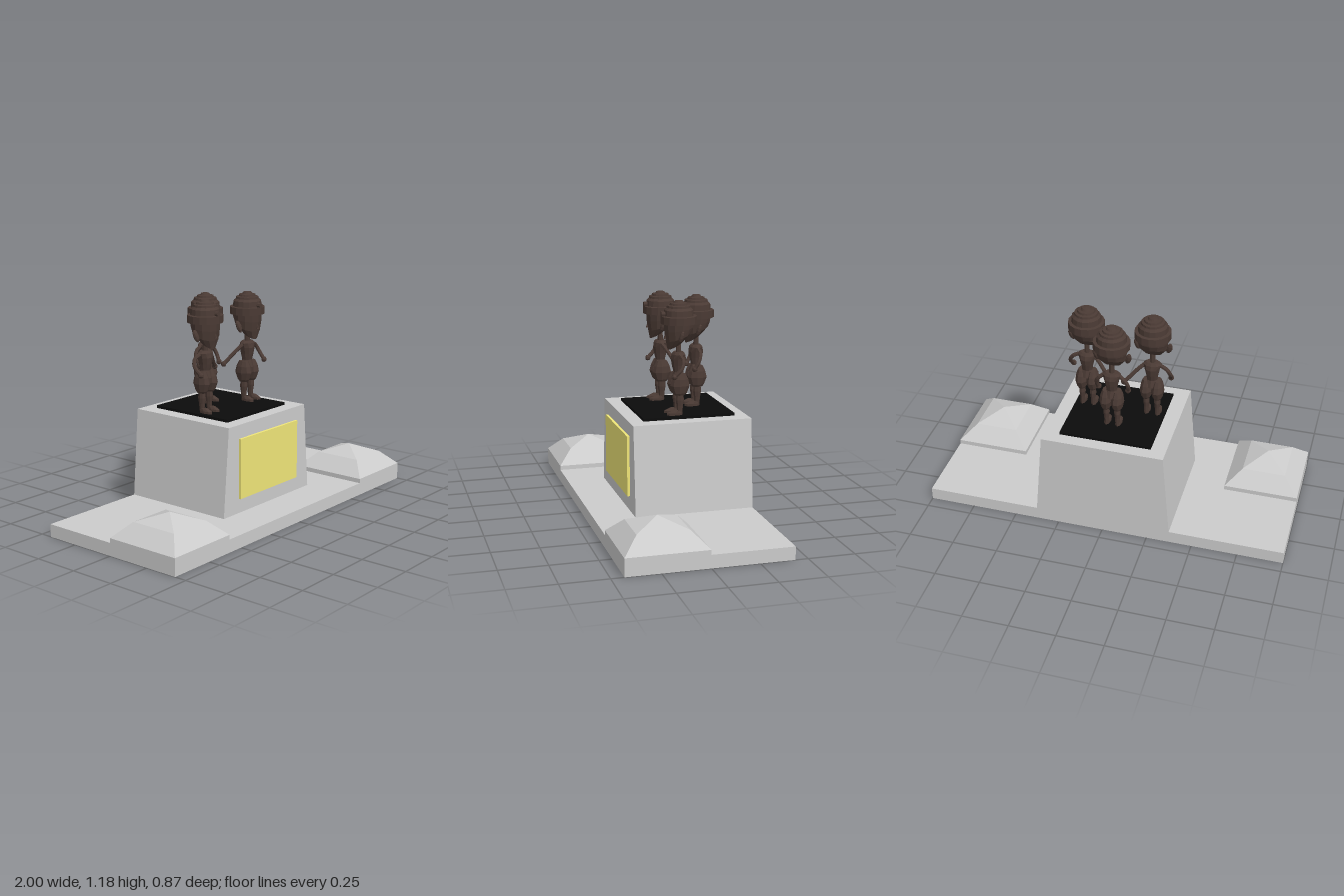
import * as THREE from 'three';

const stone = new THREE.MeshStandardMaterial({ color: 0xcccccc, flatShading: true });
const bronze = new THREE.MeshStandardMaterial({ color: 0x4a3a34, flatShading: true });
const black = new THREE.MeshStandardMaterial({ color: 0x0c0c0c });
const yellow = new THREE.MeshStandardMaterial({ color: 0xf0e678 });

function add(parent, name, geometry, material, x = 0, y = 0, z = 0) {
  const mesh = new THREE.Mesh(geometry, material);
  mesh.name = name;
  mesh.position.set(x, y, z);
  parent.add(mesh);
  return mesh;
}

// Closed skin over rings given bottom to top: [y, rx, rz, centreZ, tilt]
function loft(rings, n = 10, offset = 0) {
  const pos = [], idx = [];
  for (const [y, rx, rz, cz = 0, tilt = 0] of rings) {
    for (let j = 0; j < n; j++) {
      const a = offset + (j / n) * Math.PI * 2;
      const dz = rz * Math.cos(a);
      pos.push(rx * Math.sin(a), y + tilt * dz, cz + dz);
    }
  }
  const last = rings.length - 1;
  for (let i = 0; i < last; i++) {
    for (let j = 0; j < n; j++) {
      const a = i * n + j, b = i * n + (j + 1) % n;
      idx.push(a, b, b + n, a, b + n, a + n);
    }
  }
  const top = pos.length / 3 + 1;
  pos.push(0, rings[0][0], rings[0][3] || 0, 0, rings[last][0], rings[last][3] || 0);
  for (let j = 0; j < n; j++) {
    const k = (j + 1) % n;
    idx.push(top - 1, k, j, top, last * n + j, last * n + k);
  }
  const g = new THREE.BufferGeometry();
  g.setAttribute('position', new THREE.Float32BufferAttribute(pos, 3));
  g.setIndex(idx);
  g.computeVertexNormals();
  return g;
}

// Rectangular loft from rings [y, halfX, halfZ]
const block = (rings) =>
  loft(rings.map(([y, x, z]) => [y, x * Math.SQRT2, z * Math.SQRT2]), 4, Math.PI / 4);

// Arm through a few points, ending in a small hand
function addArm(parent, name, points) {
  const path = new THREE.CatmullRomCurve3(points.map((p) => new THREE.Vector3(...p)));
  add(parent, name, new THREE.TubeGeometry(path, 8, 0.011, 7), bronze);
  add(parent, name + 'Hand', new THREE.SphereGeometry(0.016, 7, 5), bronze, ...points[points.length - 1]);
}

// Child figure standing on local y = 0, facing +z
function createFigure(name) {
  const f = new THREE.Group();
  f.name = name;

  for (const s of [-1, 1]) {
    // Shoe, calf and puffed trouser leg
    add(f, 'shoe', loft([[0, 0.018, 0.043], [0.012, 0.018, 0.043], [0.026, 0.013, 0.025, -0.014]], 8), bronze, s * 0.031, 0, 0.028);
    add(f, 'calf', loft([[0.01, 0.012, 0.014], [0.05, 0.014, 0.018], [0.08, 0.018, 0.023], [0.125, 0.016, 0.019]], 8), bronze, s * 0.03, 0, 0);
    add(f, 'trouserLeg', loft([
      [0.108, 0.02, 0.028], [0.12, 0.027, 0.038], [0.16, 0.035, 0.054], [0.195, 0.031, 0.045], [0.225, 0.018, 0.03],
    ], 9), bronze, s * 0.031, 0, 0);
    // Ear, leaning back
    const ear = add(f, 'ear', new THREE.SphereGeometry(1, 8, 6), bronze, s * 0.086, 0.427, 0.01);
    ear.scale.set(0.017, 0.036, 0.013);
    ear.rotation.set(-0.25, 0, -s * 0.25);
  }

  // Torso
  add(f, 'torso', loft([
    [0.19, 0.045, 0.04], [0.23, 0.028, 0.027], [0.265, 0.034, 0.036], [0.3, 0.043, 0.042],
    [0.325, 0.05, 0.036], [0.337, 0.035, 0.026],
  ]), bronze);
  add(f, 'neck', new THREE.CylinderGeometry(0.014, 0.015, 0.1, 8), bronze, 0, 0.36, 0);

  // Head with a jaw sloping down to the chin
  add(f, 'head', loft([
    [0.375, 0.038, 0.045, 0.015, -0.55], [0.418, 0.073, 0.067, 0.002, -0.35],
    [0.46, 0.081, 0.078, 0, -0.15], [0.505, 0.085, 0.081],
  ], 12), bronze);
  add(f, 'nose', new THREE.ConeGeometry(0.009, 0.03, 5), bronze, 0, 0.425, 0.074);

  // Stepped hat
  const profile = [[0, 0.488], [0.097, 0.49], [0.097, 0.53], [0.08, 0.532], [0.077, 0.562], [0.064, 0.574],
    [0.062, 0.585], [0.048, 0.588], [0.045, 0.598], [0.029, 0.6], [0.022, 0.61], [0, 0.612]];
  add(f, 'hat', new THREE.LatheGeometry(profile.map((p) => new THREE.Vector2(...p)), 16), bronze);
  const badge = add(f, 'hatBadge', new THREE.CylinderGeometry(0.015, 0.015, 0.022, 8), bronze, 0, 0.541, 0.085);
  badge.rotation.x = Math.PI / 2;
  return f;
}

export function createModel() {
  const model = new THREE.Group();
  model.name = 'monument';

  // Base slab with a low corner mound on each side
  add(model, 'baseSlab', new THREE.BoxGeometry(2, 0.07, 0.866), stone, 0, 0.035, 0);
  for (const s of [-1, 1]) {
    add(model, 'cornerMound', block([
      [0, 0.205, 0.216], [0.095, 0.205, 0.216], [0.175, 0.12, 0.135], [0.225, 0.0005, 0.0005],
    ]), stone, s * 0.795, 0, 0.217);
  }

  // Pedestal with plaque and top plate
  add(model, 'pedestal', block([[0.06, 0.375, 0.325], [0.555, 0.332, 0.325]]), stone, 0, 0, -0.108);
  add(model, 'plaque', new THREE.BoxGeometry(0.5, 0.33, 0.03), yellow, 0, 0.315, 0.216);
  add(model, 'topPlate', new THREE.BoxGeometry(0.5, 0.025, 0.505), black, 0, 0.5575, -0.1125);

  // Two front figures, each reaching an inner hand to the centre
  for (const s of [-1, 1]) {
    const f = createFigure(s < 0 ? 'rightFigure' : 'leftFigure');
    f.position.set(s * 0.18, 0.57, -0.07);
    addArm(f, 'innerArm', [[-s * 0.04, 0.318, 0], [-s * 0.075, 0.288, -0.018], [-s * 0.11, 0.25, -0.038], [-s * 0.142, 0.218, -0.053]]);
    addArm(f, 'outerArm', [[s * 0.04, 0.32, 0], [s * 0.08, 0.3, -0.005], [s * 0.097, 0.26, 0.01], [s * 0.092, 0.22, 0.048]]);
    model.add(f);
  }

  // Rear figure between them
  const rear = createFigure('rearFigure');
  rear.position.set(0, 0.57, -0.222);
  for (const s of [-1, 1]) {
    addArm(rear, 'rearArm', [[s * 0.04, 0.32, 0], [s * 0.07, 0.295, -0.005], [s * 0.086, 0.255, 0.008], [s * 0.08, 0.215, 0.03]]);
  }
  model.add(rear);
  return model;
}
